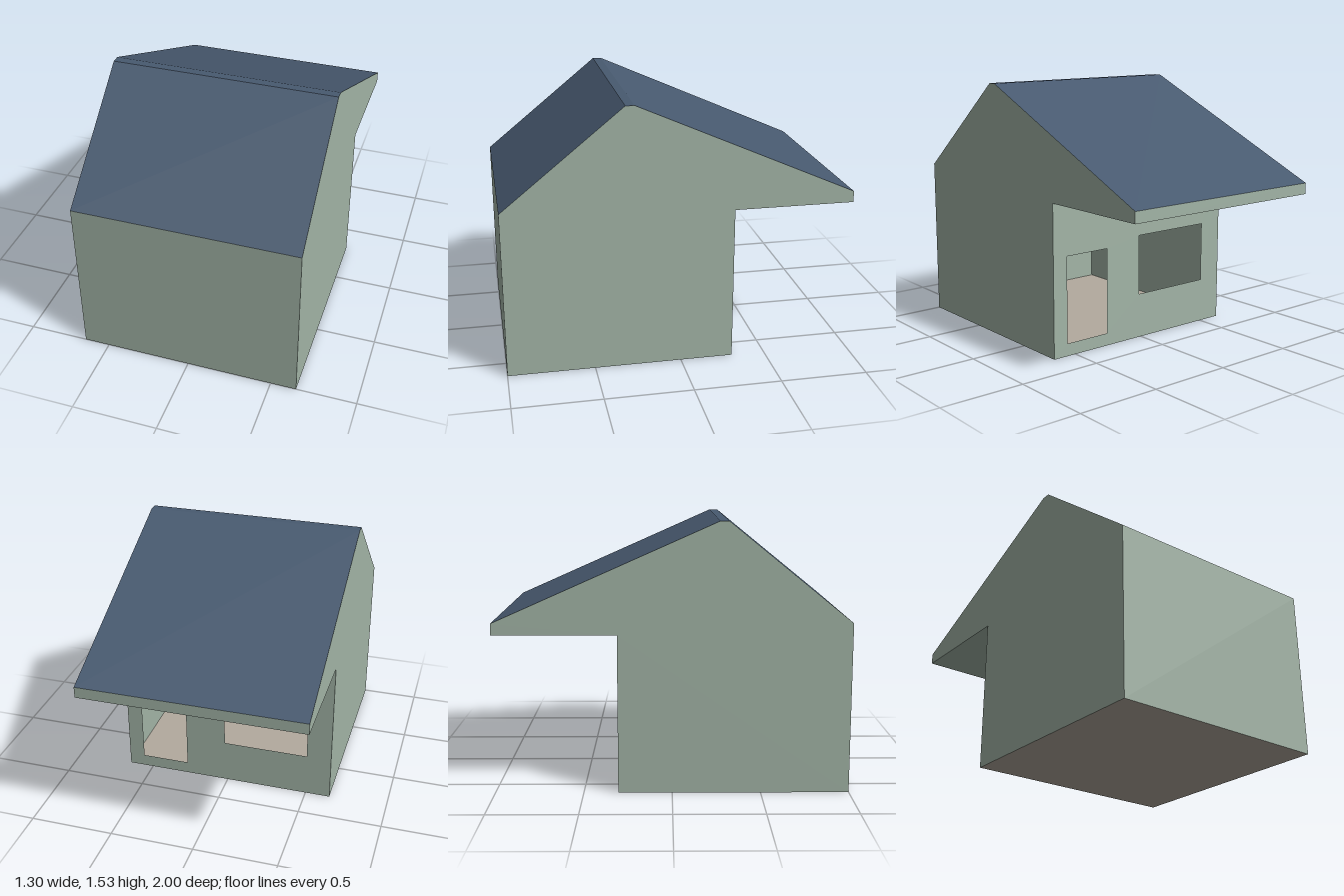
import * as THREE from 'three';

const HALF = 0.65; // half width of the house

// Side outline as [z, y], from the front foot over the ridge to the back foot
const OUTLINE = [
  [1, 0], [1, 0.97], [0.31, 1.53], [0.26, 1.53],
  [-1, 0.97], [-1, 0.905], [-0.305, 0.905], [-0.305, 0],
];

function material(name, color) {
  const m = new THREE.MeshStandardMaterial({ color, side: THREE.DoubleSide });
  m.name = name;
  return m;
}

// Flat panel spanning the full width between two outline points
function panel([z0, y0], [z1, y1]) {
  const g = new THREE.BufferGeometry();
  g.setAttribute('position', new THREE.Float32BufferAttribute([
    -HALF, y0, z0, HALF, y0, z0, HALF, y1, z1, -HALF, y1, z1,
  ], 3));
  g.setIndex([0, 1, 2, 0, 2, 3]);
  g.computeVertexNormals();
  return g;
}

function rectangle(Type, x0, y0, x1, y1) {
  return new Type([[x0, y0], [x1, y0], [x1, y1], [x0, y1]].map(([x, y]) => new THREE.Vector2(x, y)));
}

export function createModel() {
  const house = new THREE.Group();
  house.name = 'house';
  const green = material('sage wall', 0xa3b5a7);
  const blue = material('slate blue roof', 0x485a70);
  const tan = material('tan floor', 0xb3aa9e);

  const add = (name, geometry, mat) => {
    const mesh = new THREE.Mesh(geometry, mat);
    mesh.name = name;
    house.add(mesh);
    return mesh;
  };

  // Panels that follow the outline
  [
    ['frontWall', green], ['frontRoof', blue], ['roofRidge', blue],
    ['backRoof', blue], ['eaveFascia', green], ['eaveSoffit', green],
  ].forEach(([name, mat], i) => add(name, panel(OUTLINE[i], OUTLINE[i + 1]), mat));
  add('floor', panel(OUTLINE[7], OUTLINE[0]), tan);

  // Gable walls, mirrored left and right
  const gable = new THREE.ShapeGeometry(
    new THREE.Shape(OUTLINE.map(([z, y]) => new THREE.Vector2(z, y))));
  gable.rotateY(-Math.PI / 2).translate(-HALF, 0, 0);
  add('rightGableWall', gable, green);
  add('leftGableWall', gable, green).scale.x = -1;

  // Back wall with open doorway and window
  const wall = rectangle(THREE.Shape, -HALF, 0, HALF, 0.905);
  wall.holes.push(
    rectangle(THREE.Path, 0.265, 0.075, 0.555, 0.59),
    rectangle(THREE.Path, -0.5, 0.27, 0.017, 0.633));
  const back = new THREE.ShapeGeometry(wall);
  add('backWall', back, green).position.z = -0.305;

  return house;
}
